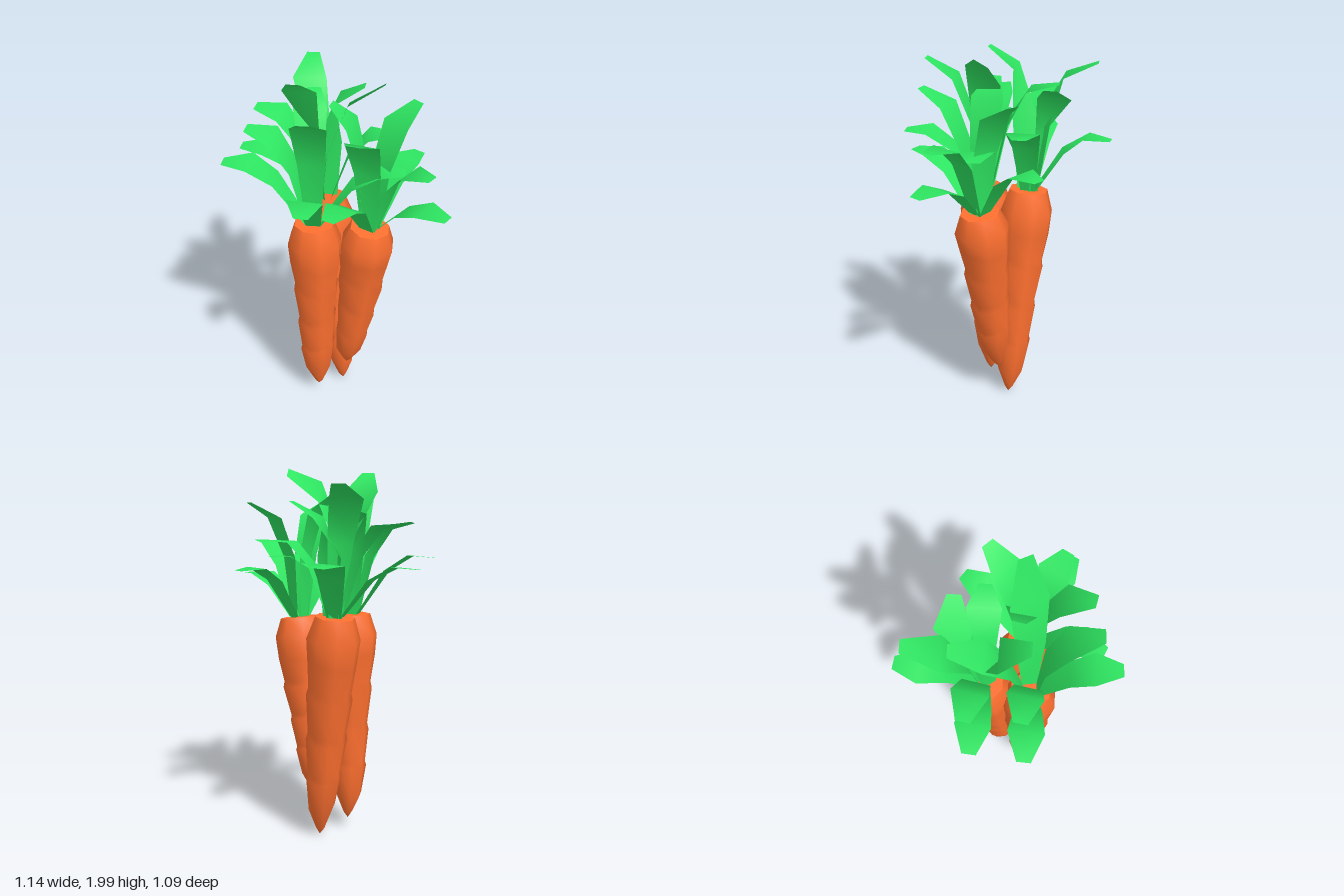
import * as THREE from 'three';
import { mergeVertices } from 'three/addons/utils/BufferGeometryUtils.js';

const orange = new THREE.MeshStandardMaterial({ color: 0xff7030 });
const green = new THREE.MeshStandardMaterial({ color: 0x2ee661, side: THREE.DoubleSide });
const SIDES = 8;

// Root outline: [radius, height fraction], tip to shoulder, with growth rings
const PROFILE = [
  [0.0, 0], [0.024, 0.03], [0.074, 0.135], [0.097, 0.28], [0.09, 0.3], [0.11, 0.46],
  [0.102, 0.49], [0.126, 0.65], [0.117, 0.68], [0.135, 0.8], [0.143, 0.905], [0.104, 1],
];

// Each carrot: root tip, crown centre, leaves as [tip x, y, z, sideways bend, roll]
const CARROTS = [
  { name: 'leftCarrot', tip: [-0.105, 0.06, 0.085], crown: [-0.113, 1.23, 0.108],
    leaves: [
      [-0.11, 1.53, 0.54, 0, 0.06], [-0.11, 1.92, 0.41], [-0.57, 1.54, 0.08, 0, 0.08],
      [-0.445, 1.72, 0.06, 0, 0.15], [0.225, 1.975, 0.06, 0, 0.6], [0.34, 1.53, 0.08],
      [-0.15, 1.8, -0.27, -0.02],
    ] },
  { name: 'rightCarrot', tip: [0.05, 0.19, 0.015], crown: [0.172, 1.205, 0.085],
    leaves: [
      [0.55, 1.42, 0.31], [0.465, 1.61, 0.27], [0.0, 1.47, 0.46], [0.1, 1.82, 0.385],
      [0.4, 1.48, -0.245], [0.38, 1.82, -0.115], [-0.03, 1.86, 0.04],
    ] },
  { name: 'backCarrot', tip: [0.025, 0, -0.04], crown: [-0.083, 1.245, -0.128],
    leaves: [
      [0.11, 1.83, -0.25, -0.08], [0.27, 1.63, -0.125], [-0.105, 1.53, -0.545, -0.025, 0.06],
      [-0.18, 1.91, -0.46, -0.045], [-0.53, 1.5, -0.17, 0, 0.08], [-0.445, 1.72, -0.19, 0, 0.15],
      [-0.2, 1.97, 0.1, 0.06],
    ] },
];

// Lumpy tapered root standing on its tip
function rootGeometry(length, seed) {
  const pts = PROFILE.map(([r, t]) => new THREE.Vector2(r, t * length));
  let geo = new THREE.LatheGeometry(pts, SIDES, Math.PI / SIDES);
  geo.deleteAttribute('uv');
  geo.deleteAttribute('normal');
  geo = mergeVertices(geo, 1e-4);
  const p = geo.attributes.position;
  for (let i = 0; i < p.count; i++) {
    const x = p.getX(i), y = p.getY(i), z = p.getZ(i);
    const t = y / length;
    if (t < 0.1 || t > 0.85) continue;
    const a = Math.atan2(z, x);
    const k = 1 + 0.03 * Math.sin(2 * a + 9 * t + seed);
    p.setXYZ(i, x * k, y + 0.02 * Math.sin(a + seed + 5 * t), z * k);
  }
  geo.computeVertexNormals();
  return geo;
}

// Arched strip with four cross-sections from crown to tip
function leafGeometry(base, [tx, ty, tz, bend = 0, roll = 0]) {
  const dx = tx - base.x, dz = tz - base.z, h = ty - base.y;
  const r = Math.hypot(dx, dz);
  const steep = THREE.MathUtils.clamp((h / r - 0.7) / 1.5, 0, 1);
  const mix = (a, b) => THREE.MathUtils.lerp(a, b, steep);
  // [distance fraction, height fraction, half width, share of bend]
  const stations = [
    [0.03 / r, 0, 0.037, 0],
    [mix(0.42, 0.2), mix(0.77, 0.53), 0.068, 0.5],
    [mix(0.7, 0.5), mix(1.03, 0.87), 0.086, 1],
    [1, 1, 0.033, 0],
  ];
  const centres = stations.map(([f, g, , b]) => new THREE.Vector3(
    base.x + dx * f - (dz / r) * bend * b, base.y + h * g, base.z + dz * f + (dx / r) * bend * b));
  const pos = [], idx = [];
  centres.forEach((c, i) => {
    // The outer half follows the bent direction
    const from = i < 2 ? centres[0] : centres[2];
    const to = i < 2 ? centres[2] : centres[3];
    const side = new THREE.Vector3(from.z - to.z, 0, to.x - from.x).setLength(stations[i][2]);
    side.y = i > 0 ? roll * stations[i][2] : 0;
    pos.push(...c.clone().add(side).toArray(), ...c.clone().sub(side).toArray());
    const k = i * 2;
    if (i < 3) idx.push(k, k + 1, k + 2, k + 1, k + 3, k + 2);
  });
  const geo = new THREE.BufferGeometry();
  geo.setAttribute('position', new THREE.Float32BufferAttribute(pos, 3));
  geo.setIndex(idx);
  geo.computeVertexNormals();
  return geo;
}

function add(parent, name, geo, mat) {
  const mesh = new THREE.Mesh(geo, mat);
  mesh.name = name;
  parent.add(mesh);
}

export function createModel() {
  const model = new THREE.Group();
  model.name = 'carrotBunch';
  CARROTS.forEach(({ name, tip, crown, leaves }, n) => {
    const carrot = new THREE.Group();
    carrot.name = name;
    const bottom = new THREE.Vector3(...tip), top = new THREE.Vector3(...crown);
    const axis = top.clone().sub(bottom), length = axis.length();

    // Root with its flat crown, leaned along its axis
    const body = new THREE.Group();
    body.name = 'root';
    body.position.copy(bottom);
    body.quaternion.setFromUnitVectors(new THREE.Vector3(0, 1, 0), axis.normalize());
    add(body, 'rootBody', rootGeometry(length, n * 2.1), orange);
    const cap = new THREE.CircleGeometry(PROFILE[PROFILE.length - 1][0], SIDES, Math.PI / SIDES);
    add(body, 'crown', cap.rotateX(-Math.PI / 2).translate(0, length, 0), orange);
    carrot.add(body);

    // Leaves
    const base = top.clone();
    base.y -= 0.01;
    leaves.forEach((leaf, i) => add(carrot, `leaf${i + 1}`, leafGeometry(base, leaf), green));
    model.add(carrot);
  });
  return model;
}
